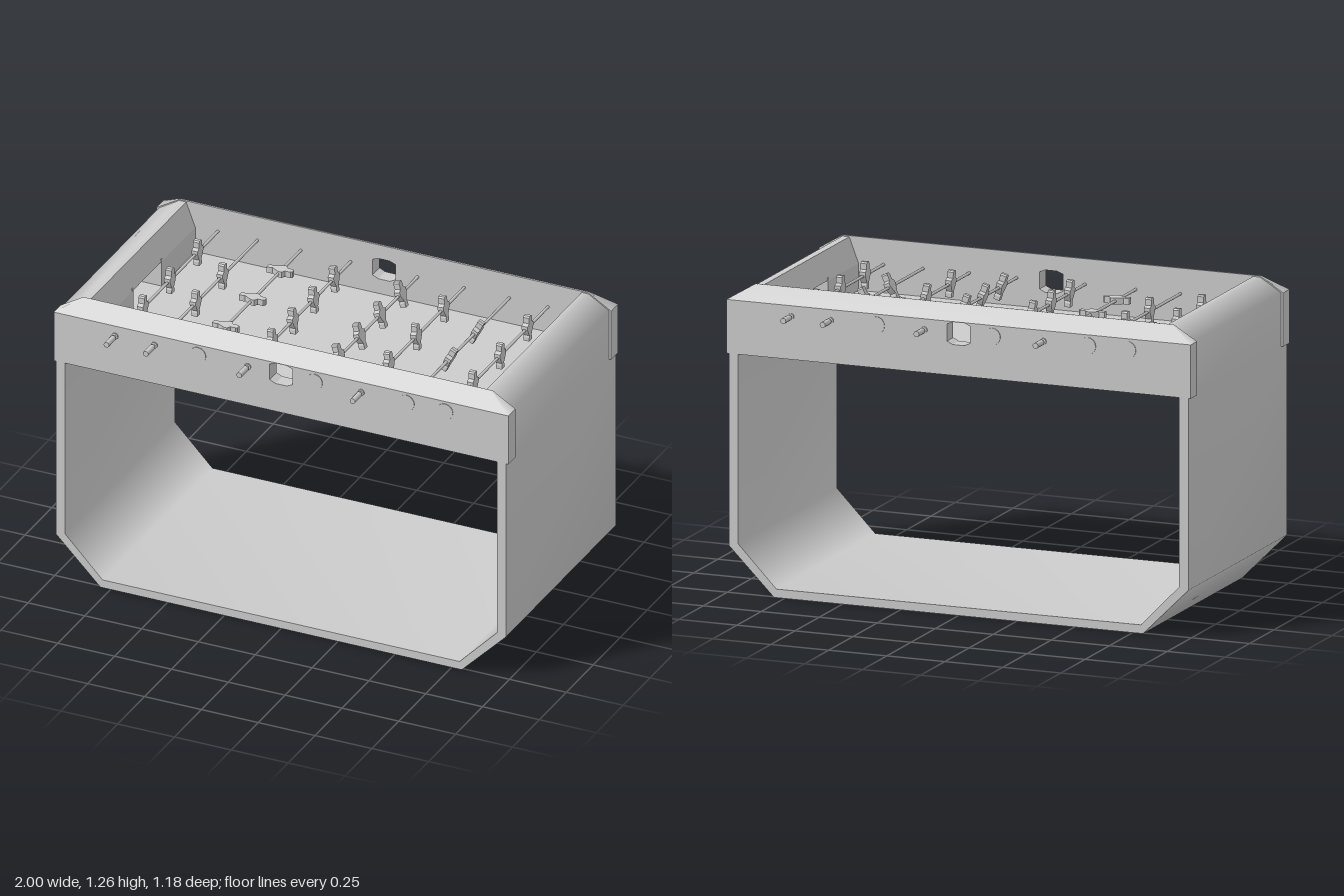
import * as THREE from 'three';

const grey = new THREE.MeshStandardMaterial({ color: 0xcccccc });

// Area-weighted smooth normals: wide faces stay flat, bevels blend, corners over 60 degrees stay sharp
function soften(source) {
  const geo = source.index ? source.toNonIndexed() : source;
  const p = geo.attributes.position, faces = [], at = new Map();
  const v = i => new THREE.Vector3().fromBufferAttribute(p, i);
  const key = i => [p.getX(i), p.getY(i), p.getZ(i)].map(n => Math.round(n * 1e4)).join();
  for (let i = 0; i < p.count; i += 3) {
    const a = v(i), n = v(i + 1).sub(a).cross(v(i + 2).sub(a));
    faces.push(n);
    for (let j = i; j < i + 3; j++) {
      if (!at.has(key(j))) at.set(key(j), []);
      at.get(key(j)).push(n);
    }
  }
  for (let i = 0; i < p.count; i++) {
    const own = faces[Math.floor(i / 3)], sum = new THREE.Vector3();
    for (const n of at.get(key(i))) if (n.angleTo(own) < Math.PI / 3) sum.add(n);
    sum.normalize();
    geo.attributes.normal.setXYZ(i, sum.x, sum.y, sum.z);
  }
  return geo;
}

const shapeOf = pts => new THREE.Shape(pts.map(([x, y]) => new THREE.Vector2(x, y)));

// Extrudes an x-y outline from z0 to z1
function slab(shape, z0, z1) {
  return new THREE.ExtrudeGeometry(shape, { depth: z1 - z0, bevelEnabled: false }).translate(0, 0, z0);
}

function add(parent, name, geo, x = 0, y = 0, z = 0) {
  const mesh = new THREE.Mesh(geo, grey);
  mesh.name = name;
  mesh.position.set(x, y, z);
  parent.add(mesh);
  return mesh;
}

// Box given by its minimum and maximum corners
function box(parent, name, [x0, y0, z0], [x1, y1, z1]) {
  return add(parent, name, new THREE.BoxGeometry(x1 - x0, y1 - y0, z1 - z0),
    (x0 + x1) / 2, (y0 + y1) / 2, (z0 + z1) / 2);
}

// Cylinder along z
function bar(parent, name, r, z0, z1, x, y, sides = 12) {
  return add(parent, name, new THREE.CylinderGeometry(r, r, Math.abs(z1 - z0), sides).rotateX(Math.PI / 2),
    x, y, (z0 + z1) / 2);
}

// Long side panel with ball window and bevelled top rail
function makeApron() {
  const g = new THREE.Group();
  g.name = 'sideApron';
  const panel = shapeOf([[-1, 0.98], [1, 0.98], [1, 1.2], [-1, 1.2]]);
  panel.holes.push(new THREE.Path([[-0.05, 1.118], [-0.025, 1.106], [0.025, 1.106], [0.05, 1.118],
    [0.05, 1.188], [0.025, 1.198], [-0.025, 1.198], [-0.05, 1.188]].map(([x, y]) => new THREE.Vector2(x, y))));
  add(g, 'apronPanel', slab(panel, 0.445, 0.51));
  const rail = slab(shapeOf([[-1, 1.2], [1, 1.2], [0.9, 1.26], [-0.9, 1.26]]), 0.445, 0.51);
  const p = rail.attributes.position;
  for (let i = 0; i < p.count; i++) if (p.getY(i) > 1.23 && p.getZ(i) > 0.48) p.setZ(i, 0.455);
  rail.computeVertexNormals();
  add(g, 'apronRail', soften(rail));
  return g;
}

// End of the table: rounded cap, inner wall and goal pocket
function makeEnd() {
  const g = new THREE.Group();
  g.name = 'tableEnd';
  const cap = shapeOf([[0.95, 0.98], [0.99, 0.98], [0.99, 1.2], [0.9, 1.255], [0.87, 1.255],
    [0.83, 1.15], [0.85, 1.15], [0.885, 1.235], [0.95, 1.19]]);
  add(g, 'endCap', soften(slab(cap, -0.45, 0.45)));
  for (const s of [-1, 1]) {
    const [a, b] = [s * 0.13, s * 0.45].sort((m, n) => m - n);
    box(g, 'goalWall', [0.83, 1.03, a], [0.85, 1.15, b]);
    const c = s * 0.135;
    box(g, 'goalSide', [0.83, 1.03, c - 0.005], [0.94, 1.16, c + 0.005]);
  }
  box(g, 'goalBack', [0.93, 1.03, -0.13], [0.94, 1.16, 0.13]);
  box(g, 'goalTop', [0.84, 1.15, -0.13], [0.93, 1.16, 0.13]);
  box(g, 'goalFloor', [0.84, 1.03, -0.13], [0.93, 1.04, 0.13]);
  return g;
}

// Player figure: half outline from foot to head, mirrored
const half = [[0.012, -0.055], [0.012, -0.038], [0.009, -0.03], [0.02, -0.012], [0.028, 0.005],
  [0.028, 0.018], [0.013, 0.026], [0.013, 0.05], [0.008, 0.056]];
const figure = slab(shapeOf([...half, ...half.map(([x, y]) => [-x, y]).reverse()]), -0.013, 0.013)
  .rotateY(Math.PI / 2);

// Rod rows: position, handle side, figure positions, tilt
const three = [-0.255, 0, 0.253], four = [-0.29, -0.1, 0.092, 0.283];
const rows = [
  [-0.73, 1, three, 0], [-0.557, 1, [-0.123, 0.127], 0], [-0.365, -1, three, -Math.PI / 2],
  [-0.146, 1, four, 0.1], [0.148, -1, four, 0.3], [0.353, 1, three, 0.1],
  [0.552, -1, [-0.14, 0.112], -0.45], [0.722, -1, three, 0],
];
const rodY = 1.155;

function makeRow([x, side, figures, tilt]) {
  const g = new THREE.Group();
  g.name = 'playerRow';
  bar(g, 'rod', 0.006, -side * 0.5, side * 0.54, x, rodY);
  bar(g, 'handle', 0.012, side * 0.528, side * 0.592, x, rodY);
  bar(g, 'rodCollar', 0.014, side * 0.5, side * 0.515, x, rodY);
  bar(g, 'rodCap', 0.035, -side * 0.5, -side * 0.513, x, rodY, 16);
  for (const z of figures) add(g, 'player', figure, x, rodY, z).rotation.z = tilt;
  return g;
}

export function createModel() {
  const model = new THREE.Group();
  model.name = 'tableFootball';

  // U-shaped body of bent board
  const outer = [[0.99, 0.98], [0.99, 0.195], [0.795, 0]];
  const inner = [[0.95, 0.98], [0.95, 0.205], [0.785, 0.035]];
  const flip = pts => pts.map(([x, y]) => [-x, y]);
  const body = shapeOf([...outer, ...flip(outer).reverse(), ...flip(inner), ...inner.slice().reverse()]);
  add(model, 'bodyShell', soften(slab(body, -0.51, 0.51)));

  // Playing surface
  box(model, 'playingField', [-0.85, 1.02, -0.45], [0.85, 1.04, 0.45]);

  // Matching halves, turned about the centre
  for (const turn of [0, Math.PI]) {
    for (const part of [makeApron(), makeEnd()]) {
      part.rotation.y = turn;
      model.add(part);
    }
  }

  for (const row of rows) model.add(makeRow(row));
  return model;
}
